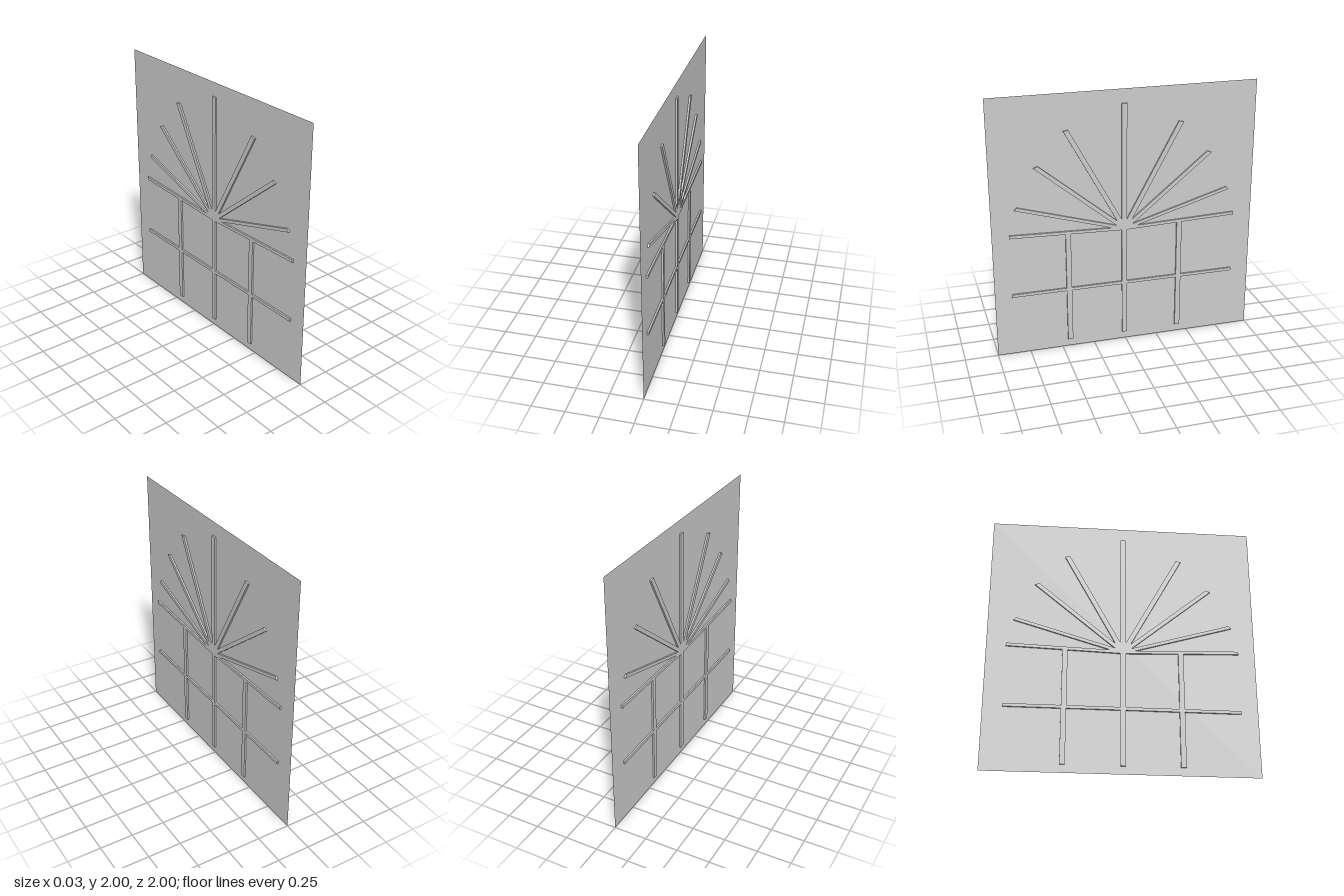
import * as THREE from 'three';

export function createModel() {
  const root = new THREE.Group();
  const material = new THREE.MeshStandardMaterial({ color: 0xcccccc, flatShading: true });
  const paneMaterial = material.clone();
  paneMaterial.side = THREE.DoubleSide;

  // Thin square pane standing in the x = 0 plane
  const pane = new THREE.Mesh(new THREE.PlaneGeometry(2, 2), paneMaterial);
  pane.name = 'pane';
  pane.rotation.y = Math.PI / 2;
  pane.position.y = 1;
  root.add(pane);

  // The lattice is stretched sideways, so upright bars are wider than level ones
  const STRETCH = 1.7, WIDTH = 0.023, DEPTH = 0.026, HUB = 0.935;
  const lattice = new THREE.Group();
  lattice.name = 'lattice';
  lattice.scale.z = STRETCH;
  lattice.position.z = 0.009;
  root.add(lattice);

  // Square bar between two [z, y] points, showing on both faces of the pane
  function bar(name, [z0, y0], [z1, y1]) {
    const dz = (z1 - z0) / STRETCH, dy = y1 - y0;
    const mesh = new THREE.Mesh(new THREE.BoxGeometry(DEPTH, WIDTH, Math.hypot(dz, dy)), material);
    mesh.name = name;
    mesh.position.set(0, (y0 + y1) / 2, (z0 + z1) / 2 / STRETCH);
    mesh.rotation.x = -Math.atan2(dy, dz);
    lattice.add(mesh);
  }

  // Centre upright and lower crossbar
  bar('centreUpright', [0, 0.06], [0, 1.895]);
  bar('lowerCrossbar', [-0.865, 0.488], [0.865, 0.488]);

  // Fan of rays and side uprights, mirrored about the centre
  const tips = [[0.865, 0.963], [0.81, 1.175], [0.655, 1.477], [0.43, 1.728]];
  for (const side of [1, -1]) {
    for (const [z, y] of tips) bar('fanRay', [0, HUB], [side * z, y]);
    bar('sideUpright', [side * 0.43, 0.06], [side * 0.43, 0.95]);
  }
  return root;
}
